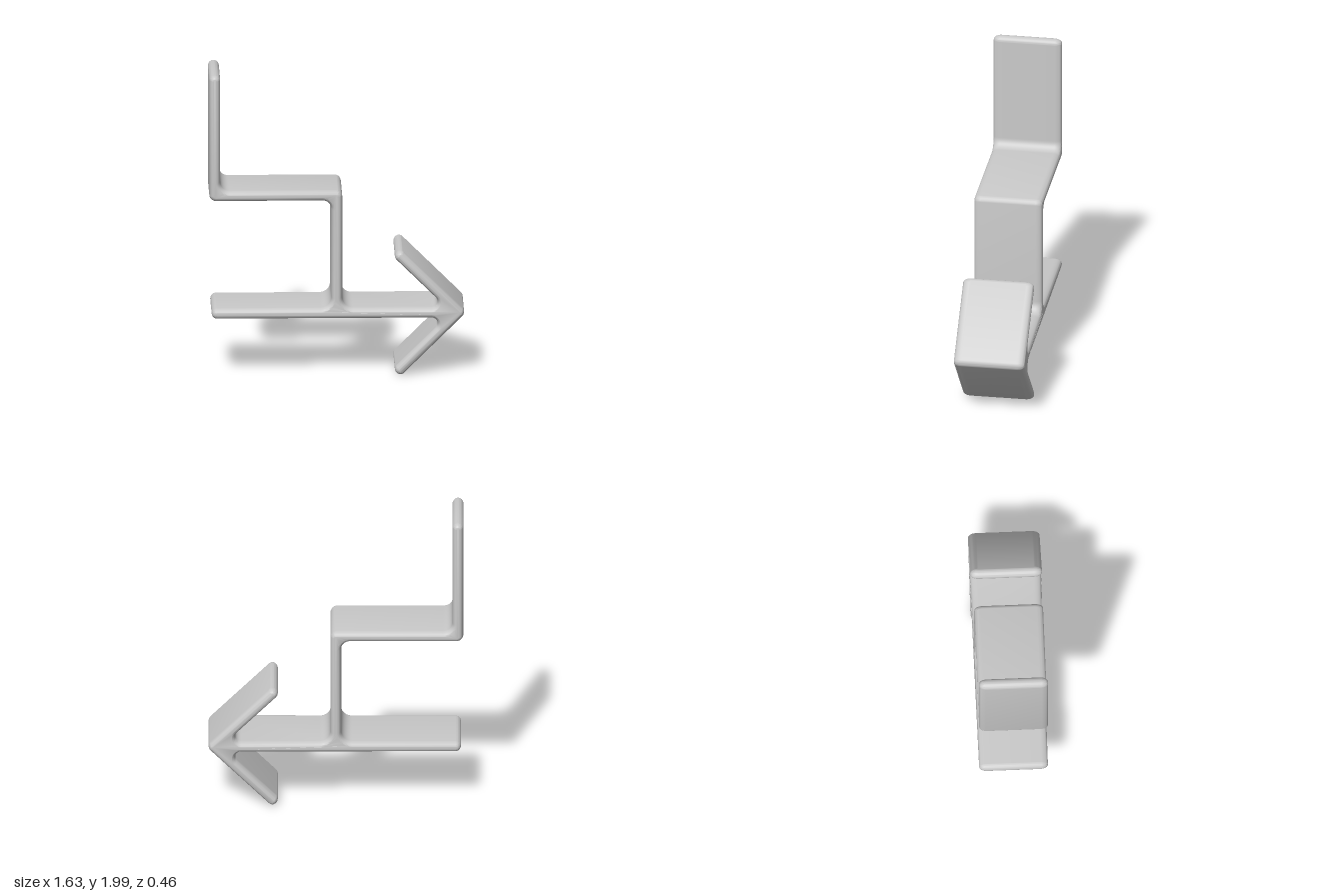
import * as THREE from 'three';
import { toCreasedNormals } from 'three/addons/utils/BufferGeometryUtils.js';

// Closed shape from corners [x, y, radius], each rounded by a true arc
function roundedShape(corners) {
  const shape = new THREE.Shape();
  const n = corners.length;
  corners.forEach(([x, y, r], i) => {
    const p = new THREE.Vector2(x, y);
    const prev = corners[(i + n - 1) % n], next = corners[(i + 1) % n];
    const a = new THREE.Vector2(prev[0], prev[1]).sub(p).normalize();
    const b = new THREE.Vector2(next[0], next[1]).sub(p).normalize();
    const half = Math.acos(THREE.MathUtils.clamp(a.dot(b), -1, 1)) / 2;
    const c = a.clone().add(b).normalize().multiplyScalar(r / Math.sin(half)).add(p);
    const t = r / Math.tan(half);
    const s = p.clone().addScaledVector(a, t).sub(c);
    const e = p.clone().addScaledVector(b, t).sub(c);
    shape.absarc(c.x, c.y, r, s.angle(), e.angle(), a.cross(b) > 0);
  });
  shape.closePath();
  return shape;
}

export function createModel() {
  const group = new THREE.Group();
  group.name = 'bentRibbonArrow';
  const grey = new THREE.MeshStandardMaterial({ color: 0xc8c8c8 });
  grey.name = 'lightGrey';

  // Slim core of the ribbon; the bevel swells it to its full thickness
  const h = 0.008, bevel = 0.027, depth = 0.22, bevelDepth = 0.05;
  const end = 0.0075, outer = 0.016, inner = 0.085;
  const left = -0.78, seat = 1.2, base = 0.42, tip = 0.78;
  const d = h * Math.SQRT2;              // diagonal offset of the arrow arms
  const k = h / Math.SQRT2;
  const armX = 0.4, armY = 0.38;         // arm end, relative to the base line

  const outline = [
    // base bar underside and lower arrow arm
    [-0.773, base - h, end],
    [tip - d - h, base - h, 0.064],
    [armX - k, base - armY + k, end],
    [armX + k, base - armY - k, end],
    // arrow point and upper arm
    [tip + d, base, 0.012],
    [armX + k, base + armY + k, end],
    [armX - k, base + armY - k, end],
    [tip - d - h, base + h, 0.064],
    // post, shelf and upright
    [h, base + h, inner + 0.01],
    [h, seat + h, outer],
    [left + h, seat + h, inner],
    [left + h, 1.973, end],
    [left - h, 1.973, end],
    [left - h, seat - h, outer],
    [-h, seat - h, inner],
    [-h, base + h, inner + 0.01],
    [-0.773, base + h, end],
  ];

  const solid = new THREE.ExtrudeGeometry(roundedShape(outline), {
    depth: 2 * (depth - bevelDepth), steps: 1, curveSegments: 5,
    bevelEnabled: true, bevelSize: bevel, bevelThickness: bevelDepth, bevelSegments: 8,
  });
  solid.translate(0, 0, -(depth - bevelDepth));

  // The arrow head is slightly wider than the rest of the ribbon
  const pos = solid.attributes.position;
  for (let i = 0; i < pos.count; i++) {
    if (pos.getX(i) > 0.3) pos.setZ(i, pos.getZ(i) * 1.04);
  }

  const ribbon = new THREE.Mesh(toCreasedNormals(solid, 0.8), grey);
  ribbon.name = 'ribbon';
  group.add(ribbon);
  return group;
}
